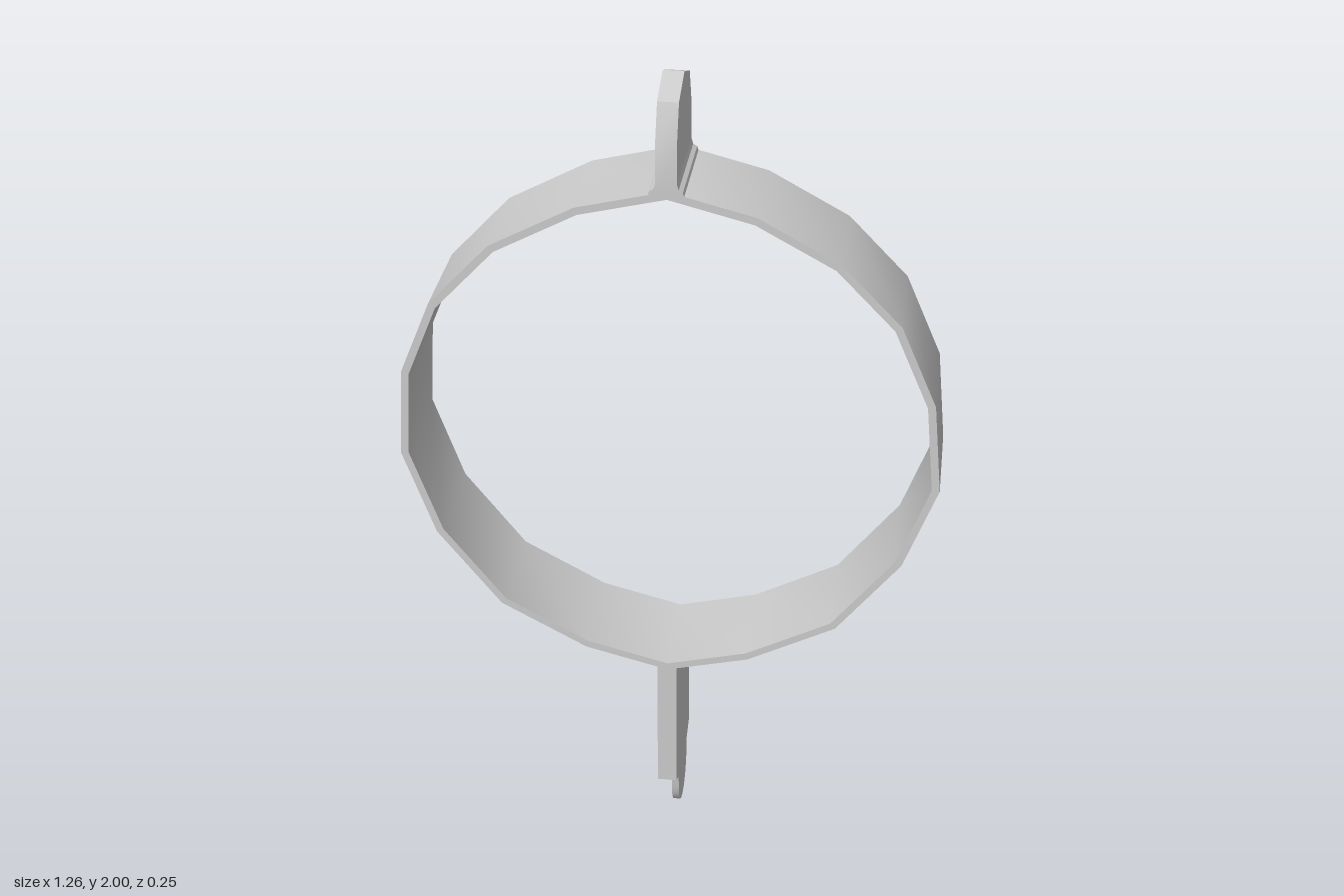
import * as THREE from 'three';
import { toCreasedNormals } from 'three/addons/utils/BufferGeometryUtils.js';

const WIDTH = 0.25;
const CENTRE_Y = 1.13;
const material = new THREE.MeshStandardMaterial({ color: 0xcccccc });

const toVectors = (points) => points.map(([x, y]) => new THREE.Vector2(x, y));

function extrude(shape, depth) {
  const geometry = new THREE.ExtrudeGeometry(shape, { depth, bevelEnabled: false });
  return geometry.translate(0, 0, -depth / 2);
}

function addPart(group, name, geometry) {
  const mesh = new THREE.Mesh(toCreasedNormals(geometry, 0.6), material);
  mesh.name = name;
  group.add(mesh);
}

// Plate lying in the zy plane, from x0 to x1; the half outline is mirrored in z
function plate(half, x0, x1) {
  const mirrored = half.filter(([z]) => z > 0).map(([z, y]) => [-z, y]).reverse();
  const geometry = extrude(new THREE.Shape(toVectors([...half, ...mirrored])), x1 - x0);
  return geometry.rotateY(Math.PI / 2).translate((x0 + x1) / 2, 0, 0);
}

export function createModel() {
  const group = new THREE.Group();
  group.name = 'ringWithTabs';

  // Slightly uneven faceted band, counter-clockwise from the bottom
  const outer = toVectors([
    [0, 0.493], [0.196, 0.543], [0.404, 0.655], [0.552, 0.85], [0.628, 1.062],
    [0.606, 1.284], [0.521, 1.479], [0.383, 1.622], [0.198, 1.723], [0, 1.773],
    [-0.204, 1.723], [-0.399, 1.618], [-0.542, 1.464], [-0.616, 1.283],
    [-0.63, 1.066], [-0.556, 0.85], [-0.406, 0.655], [-0.2, 0.543],
  ]);
  const inner = outer.map((p) => new THREE.Vector2(p.x * 0.971, CENTRE_Y + (p.y - CENTRE_Y) * 0.971));
  const band = new THREE.Shape(outer);
  band.holes.push(new THREE.Path(inner));
  addPart(group, 'ringBand', extrude(band, WIDTH));

  // Upper tab with a pointed top
  const h = WIDTH / 2;
  addPart(group, 'upperTab', plate(
    [[h, 1.762], [h, 1.875], [0.09, 1.965], [0, 2]], -0.025, 0.022));

  // Small fillets where the upper tab meets the band
  for (const side of [-1, 1]) {
    const x = side < 0 ? -0.024 : 0.021;
    const fillet = new THREE.Shape(toVectors([
      [x, 1.795], [x, 1.755], [x + side * 0.02, 1.755],
      [x + side * 0.014, 1.772], [x + side * 0.005, 1.778],
    ]));
    addPart(group, side < 0 ? 'rightFillet' : 'leftFillet', extrude(fillet, WIDTH));
  }

  // Lower stem
  addPart(group, 'lowerStem', plate([[h, 0.145], [h, 0.502]], -0.025, 0.022));

  // Thin rounded tongue flush with the stem's left face
  const tongue = [[0, 0], [0.03, 0.007], [0.055, 0.026], [0.071, 0.055],
    [0.076, 0.085], [0.08, 0.12], [h, 0.146]];
  addPart(group, 'lowerTongue', plate(tongue, 0.004, 0.022));

  return group;
}
